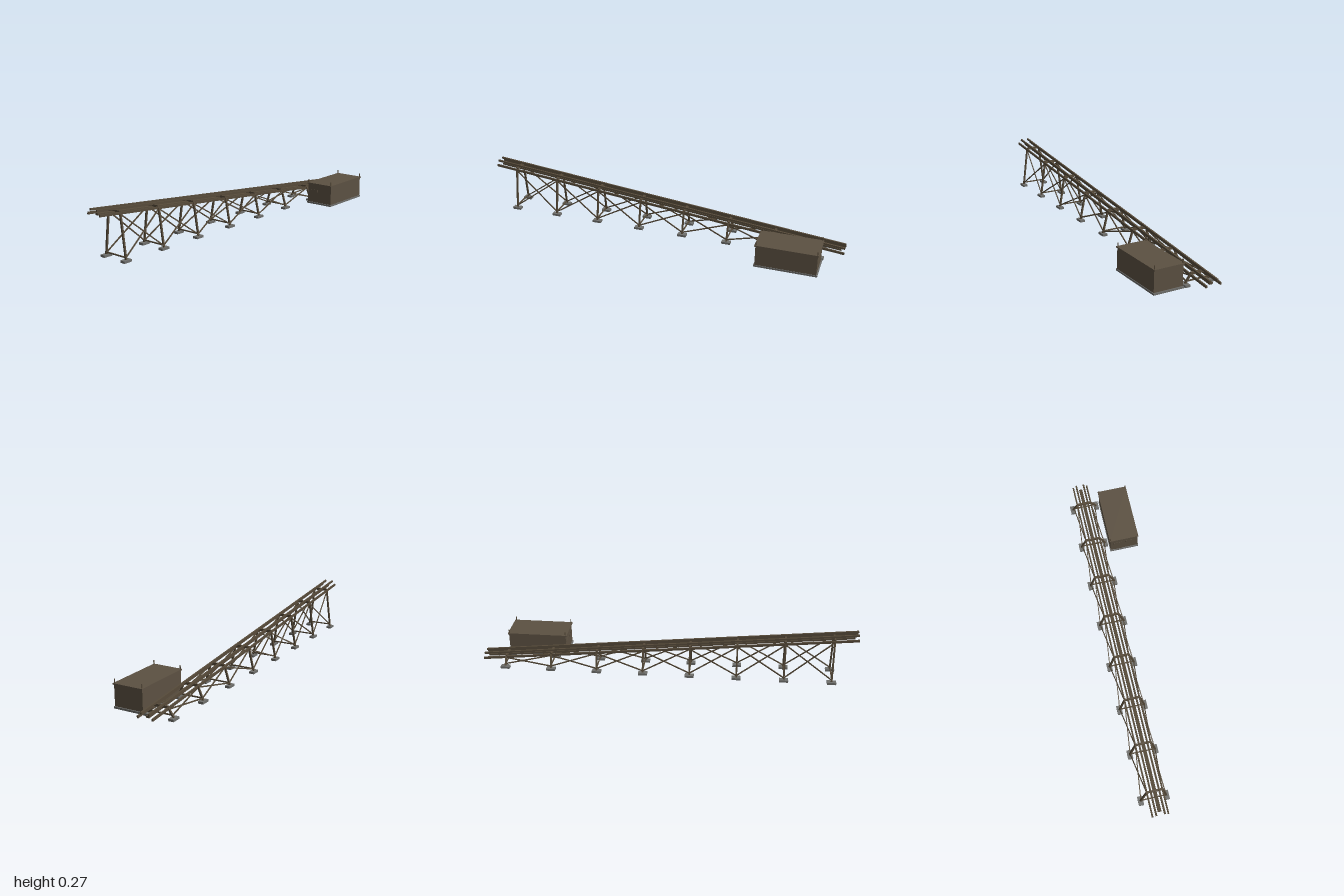
import * as THREE from 'three';

const mat = (name, color) => {
  const m = new THREE.MeshStandardMaterial({ color });
  m.name = name;
  return m;
};

export function createModel() {
  const timber = mat('timber', 0x574b3a);
  const wall = mat('hut wall', 0x5c5142);
  const concrete = mat('concrete', 0x6f6f6c);

  const model = new THREE.Group();
  model.name = 'inclinedRampWithHut';

  const box = (parent, name, m, size, pos) => {
    const mesh = new THREE.Mesh(new THREE.BoxGeometry(...size), m);
    mesh.name = name;
    mesh.position.set(...pos);
    parent.add(mesh);
    return mesh;
  };

  // Square timber running between two points of its parent
  const up = new THREE.Vector3(0, 1, 0);
  const beam = (parent, name, a, b, w, h) => {
    const p = new THREE.Vector3(...a), q = new THREE.Vector3(...b);
    const mid = p.clone().add(q).multiplyScalar(0.5);
    const mesh = box(parent, name, timber, [w, h, p.distanceTo(q)], mid.toArray());
    mesh.quaternion.setFromRotationMatrix(new THREE.Matrix4().lookAt(q, p, up));
  };

  const ramp = new THREE.Group();
  ramp.name = 'ramp';
  ramp.position.x = -0.0865;
  model.add(ramp);

  const slope = 0.105;
  const deckY = (z) => 0.1415 + slope * z;
  const topX = 0.04, footX = 0.069;
  const legX = (y, z) => footX + (topX - footX) * (y - 0.01) / (deckY(z) - 0.01);

  // Long sloping members: outer stringers, raised rails, centre beam
  const along = (name, x, dy, w, h, end) =>
    beam(ramp, name, [x, deckY(-end) + dy, -end], [x, deckY(end) + dy, end], w, h);
  for (const s of [-1, 1]) {
    along('stringer', s * topX, 0, 0.008, 0.012, 0.9995);
    along('rail', s * 0.0215, 0.0205, 0.009, 0.01, 0.9995);
  }
  along('centreBeam', 0, -0.001, 0.018, 0.01, 0.98);

  // Trestle bents
  const stations = Array.from({ length: 8 }, (_, i) => 0.875 - i * 0.25);
  for (const z of stations) {
    const bent = new THREE.Group();
    bent.name = 'trestleBent';
    ramp.add(bent);
    const y = deckY(z);
    box(bent, 'capBeam', timber, [0.08, 0.013, 0.01], [0, y + 0.006, z]);
    box(bent, 'groundStrut', timber, [0.125, 0.006, 0.006], [0, 0.022, z]);
    for (const s of [-1, 1]) {
      beam(bent, 'leg', [s * footX, 0.01, z], [s * topX, y + 0.004, z], 0.009, 0.009);
      box(bent, 'footing', concrete, [0.028, 0.012, 0.048], [s * footX, 0.006, z]);
    }
  }

  // Crossed braces in the plane of the legs
  for (let i = 0; i < stations.length - 1; i++) {
    const a = stations[i], b = stations[i + 1];
    for (const s of [-1, 1]) {
      const low = (z) => [s * legX(0.02, z), 0.02, z];
      const high = (z) => [s * topX, deckY(z) - 0.004, z];
      beam(ramp, 'diagonalBrace', high(a), low(b), 0.005, 0.006);
      beam(ramp, 'diagonalBrace', low(a), high(b), 0.005, 0.006);
    }
  }

  // Control hut beside the low end
  const hut = new THREE.Group();
  hut.name = 'hut';
  hut.position.set(0.085, 0, -0.73);
  model.add(hut);
  box(hut, 'hutBase', concrete, [0.166, 0.01, 0.33], [0, 0.005, 0]);
  box(hut, 'hutWalls', wall, [0.16, 0.11, 0.318], [0, 0.064, 0]);
  box(hut, 'hutRoof', wall, [0.166, 0.007, 0.33], [0, 0.1215, 0]);
  for (const x of [-0.078, 0.078]) for (const z of [-0.157, 0.157])
    box(hut, 'cornerPost', timber, [0.004, 0.02, 0.004], [x, 0.135, z]);

  // Door and small vents on the front wall
  box(hut, 'door', wall, [0.045, 0.075, 0.003], [-0.038, 0.048, 0.159]);
  for (const x of [0.015, 0.045])
    box(hut, 'vent', wall, [0.016, 0.012, 0.003], [x, 0.08, 0.159]);

  return model;
}
